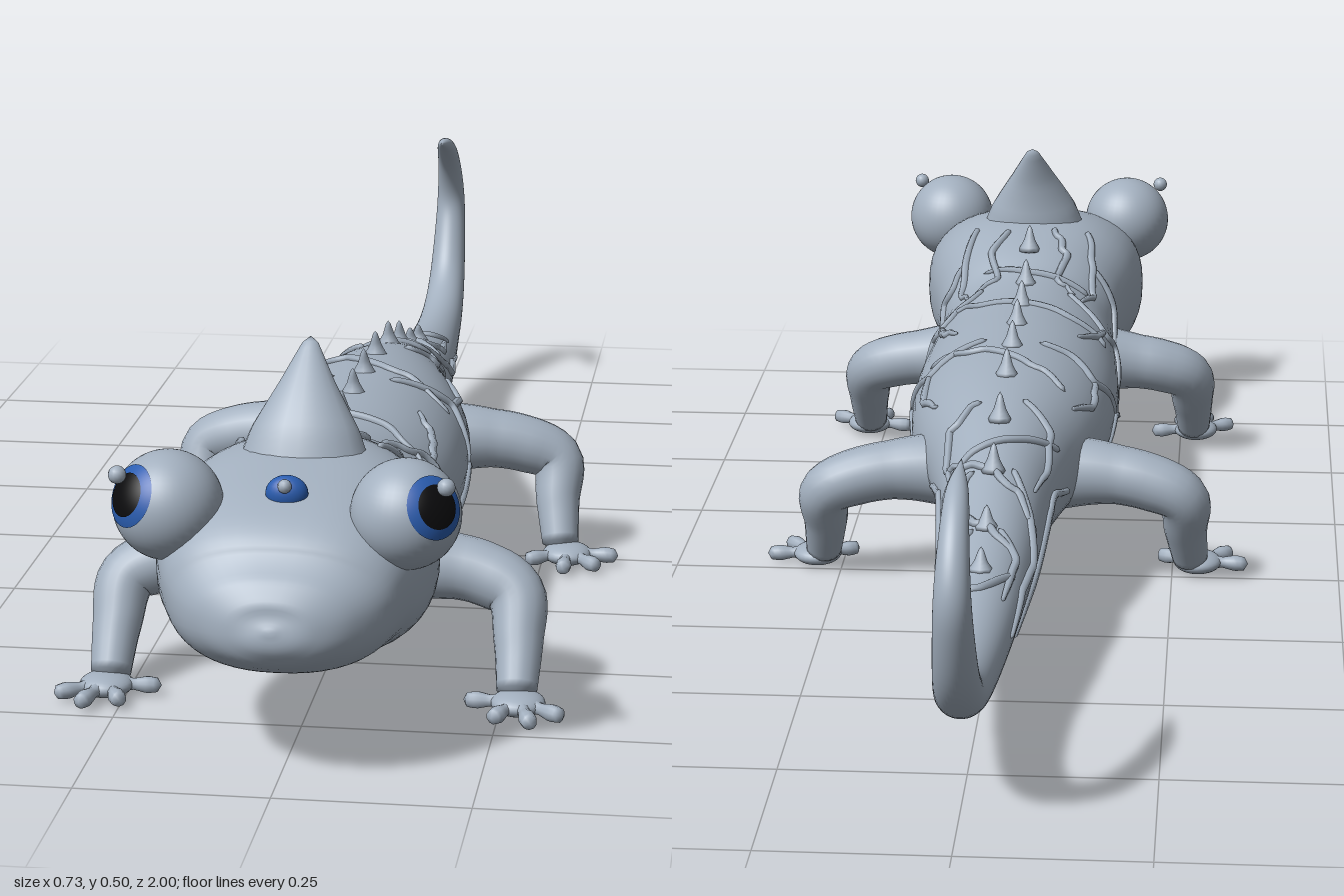
import * as THREE from 'three';
import { mergeVertices } from 'three/addons/utils/BufferGeometryUtils.js';

const skin = new THREE.MeshStandardMaterial({ color: 0xa3b0bf });
skin.name = 'grey skin';
const blue = new THREE.MeshStandardMaterial({ color: 0x2a5db0 });
blue.name = 'iris blue';
const black = new THREE.MeshStandardMaterial({ color: 0x0b0b0d });
black.name = 'pupil black';

const V = (x, y, z) => new THREE.Vector3(x, y, z);

// Body cross-sections from nose to tail tip: z, y, half width, half height, squareness
const SECTIONS = [
  [1.0, 0.215, 0, 0, 2.2], [0.99, 0.213, 0.055, 0.035, 2.2], [0.965, 0.213, 0.1, 0.06, 2.3],
  [0.92, 0.218, 0.14, 0.085, 2.4], [0.86, 0.235, 0.165, 0.108, 2.5], [0.78, 0.24, 0.18, 0.125, 2.5],
  [0.7, 0.24, 0.175, 0.135, 2.4], [0.62, 0.228, 0.155, 0.132, 2.2], [0.54, 0.208, 0.14, 0.122, 2],
  [0.42, 0.198, 0.15, 0.12, 2], [0.26, 0.195, 0.158, 0.124, 2], [0.1, 0.195, 0.15, 0.122, 2],
  [0, 0.195, 0.132, 0.115, 2], [-0.1, 0.19, 0.105, 0.105, 2], [-0.22, 0.178, 0.08, 0.088, 2],
  [-0.4, 0.155, 0.066, 0.066, 2], [-0.58, 0.138, 0.052, 0.05, 2], [-0.74, 0.138, 0.04, 0.04, 2],
  [-0.85, 0.158, 0.034, 0.034, 2], [-0.92, 0.205, 0.03, 0.03, 2], [-0.963, 0.28, 0.026, 0.026, 2],
  [-0.974, 0.34, 0.023, 0.023, 2], [-0.945, 0.4, 0.019, 0.019, 2], [-0.89, 0.442, 0.014, 0.014, 2],
  [-0.82, 0.46, 0, 0, 2],
];
const spine = new THREE.CatmullRomCurve3(SECTIONS.map(s => V(0, s[1], s[0])), false, 'catmullrom');
const girth = new THREE.CatmullRomCurve3(SECTIONS.map(s => V(s[2], s[3], s[4])), false, 'catmullrom');

// Point on the skin; angle 0 is the back ridge, growing towards the model's left
function skinPoint(u, angle, lift = 0) {
  const c = spine.getPoint(u), t = spine.getTangent(u), g = girth.getPoint(u);
  const curve = v => Math.sign(v) * Math.pow(Math.abs(v), 2 / g.z);
  const up = (Math.max(g.y, 0) + lift) * curve(Math.cos(angle));
  return V((Math.max(g.x, 0) + lift) * curve(Math.sin(angle)), c.y - t.z * up, c.z + t.y * up);
}

// Spine parameter at a given z, ahead of the tail curl
function atZ(z) {
  let a = 0, b = 0.8;
  for (let i = 0; i < 30; i++) {
    const m = (a + b) / 2;
    if (spine.getPoint(m).z > z) a = m; else b = m;
  }
  return a;
}

function smooth(geo) {
  geo.deleteAttribute('uv');
  geo.deleteAttribute('normal');
  const merged = mergeVertices(geo, 1e-5);
  merged.computeVertexNormals();
  return merged;
}

function bodyGeometry(rings = 150, sides = 48) {
  const pos = [], idx = [];
  for (let i = 0; i <= rings; i++) {
    for (let j = 0; j < sides; j++) {
      pos.push(...skinPoint(i / rings, (j / sides) * Math.PI * 2).toArray());
      if (i === rings) continue;
      const k = (j + 1) % sides, a = i * sides, b = a + sides;
      idx.push(a + j, a + k, b + j, a + k, b + k, b + j);
    }
  }
  const geo = new THREE.BufferGeometry();
  geo.setAttribute('position', new THREE.Float32BufferAttribute(pos, 3));
  geo.setIndex(idx);
  return smooth(geo);
}

// Round tube whose radius follows a list of values, with closed ends
function taper(points, radii, seg = 24, sides = 14) {
  const path = new THREE.CatmullRomCurve3(points);
  const geo = new THREE.TubeGeometry(path, seg, 1, sides);
  const p = geo.attributes.position, v = V(0, 0, 0);
  for (let i = 0; i <= seg; i++) {
    const c = path.getPointAt(i / seg), f = (i / seg) * (radii.length - 1);
    const k = Math.min(Math.floor(f), radii.length - 2);
    const r = i === 0 || i === seg ? 0 : THREE.MathUtils.lerp(radii[k], radii[k + 1], f - k);
    for (let j = 0; j <= sides; j++) {
      const n = i * (sides + 1) + j;
      v.fromBufferAttribute(p, n).sub(c).multiplyScalar(r).add(c);
      p.setXYZ(n, v.x, v.y, v.z);
    }
  }
  return smooth(geo);
}

// Raised veins as [z, degrees from the back ridge]
const SIDE_VEINS = [
  [[0.68, 28], [0.6, 42], [0.53, 50], [0.47, 38]],
  [[0.6, 42], [0.57, 72], [0.5, 104]],
  [[0.66, 10], [0.6, 22], [0.52, 20], [0.48, 34]],
  [[0.48, 28], [0.4, 58], [0.43, 77], [0.38, 102], [0.3, 108], [0.19, 90], [0.08, 108]],
  [[0.4, 58], [0.33, 50], [0.27, 36]],
  [[0.17, 15], [0.13, 55], [0.19, 90]],
  [[0.13, 55], [0.05, 62], [-0.02, 50]],
  [[-0.07, 15], [-0.12, 45], [-0.19, 58], [-0.26, 50]],
  [[-0.12, 96], [-0.2, 80], [-0.26, 88], [-0.38, 105], [-0.55, 118]],
  [[-0.25, 20], [-0.32, 50], [-0.42, 78], [-0.5, 70], [-0.62, 82]],
  [[-0.4, 15], [-0.46, 45], [-0.58, 40]],
];
const BACK_VEINS = [
  [[0.02, -40], [0.05, -15], [0.12, 15], [0.18, 55]],
  [[0.33, -60], [0.36, -20], [0.38, 15], [0.46, 60]],
  [[-0.12, -60], [-0.17, -15], [-0.2, 25], [-0.26, 70]],
  [[-0.2, 60], [-0.25, 10], [-0.3, -30], [-0.36, -70]],
  [[-0.34, 50], [-0.4, 0], [-0.46, -50]],
  [[-0.5, -50], [-0.56, 0], [-0.6, 50]],
  [[0.52, -45], [0.53, -10], [0.56, 30]],
  [[0.6, 145], [0.55, 165], [0.53, 190], [0.58, 220]],
];

export function createModel() {
  const model = new THREE.Group();
  const add = (name, geo, mat = skin, at = null, parent = model) => {
    const mesh = new THREE.Mesh(geo, mat);
    mesh.name = name;
    if (at) mesh.position.copy(at);
    parent.add(mesh);
    return mesh;
  };
  const ball = (r, w = 28, h = 18) => new THREE.SphereGeometry(r, w, h);

  add('body', bodyGeometry());

  // Horn at the back of the head
  const horn = add('horn', taper(
    [V(0, 0.33, 0.715), V(0, 0.38, 0.705), V(0, 0.435, 0.685), V(0, 0.5, 0.65)],
    [0.062, 0.047, 0.024, 0.004], 20, 20));
  horn.scale.x = 1.5;

  // Forehead gem with a small bead
  add('foreheadGem', ball(0.027), blue, V(0, 0.35, 0.855)).scale.set(1, 0.85, 0.7);
  add('gemBead', ball(0.009, 12, 8), skin, V(0, 0.364, 0.873));

  // Row of back spines
  const spines = [0.61, 0.49, 0.375, 0.26, 0.145, 0.02, -0.12, -0.25, -0.39, -0.5];
  spines.forEach((z, i) => {
    const p = skinPoint(atZ(z), 0), h = i > 7 ? 0.025 : 0.036;
    add('backSpine', taper([p.clone().add(V(0, -0.012, -0.004)), p.clone().add(V(0, h * 0.4, 0)),
      p.clone().add(V(0, h, 0.007))], [0.022, 0.009, 0.002], 8, 8));
  });

  // Veins hugging the skin, with a slight wander
  const vein = list => {
    const pts = [];
    list.forEach(([z, deg], i) => {
      const next = list[i + 1];
      const steps = next ? 4 : 1;
      for (let s = 0; s < steps; s++) {
        const f = s / 4, zz = next ? THREE.MathUtils.lerp(z, next[0], f) : z;
        const d = next ? THREE.MathUtils.lerp(deg, next[1], f) : deg;
        const wander = Math.sin(zz * 91 + d * 0.7) * 0.006;
        pts.push(skinPoint(atZ(zz + wander), THREE.MathUtils.degToRad(d), 0.001));
      }
    });
    add('vein', taper(pts, [0.005, 0.0065, 0.006, 0.003], pts.length * 3, 6));
  };
  BACK_VEINS.forEach(vein);

  for (const s of [1, -1]) {
    const side = s > 0 ? 'left' : 'right';
    SIDE_VEINS.forEach(list => vein(list.map(([z, d]) => [z, d * s])));

    // Bulging eye: ball, iris and pupil caps, bead
    const eye = new THREE.Group();
    eye.name = side + 'Eye';
    eye.position.set(0.15 * s, 0.33, 0.858);
    model.add(eye);
    add('eyeball', ball(0.07, 40, 28), skin, null, eye);
    const look = V(0.66 * s, 0.36, 0.66).normalize();
    const turn = new THREE.Quaternion().setFromUnitVectors(V(0, 1, 0), look);
    const cap = (r, a) => new THREE.SphereGeometry(r, 36, 10, 0, Math.PI * 2, 0, a);
    add('iris', cap(0.0712, 0.6), blue, null, eye).quaternion.copy(turn);
    add('pupil', cap(0.0722, 0.4), black, null, eye).quaternion.copy(turn);
    add('eyeBead', ball(0.0115, 14, 10), skin, V(0.055 * s, 0.05, 0.045), eye);

    // Legs and splayed feet: path, foot centre and toe tips (x, z)
    const legs = [
      ['frontLeg', [[0.07, 0.18, 0.55], [0.15, 0.17, 0.56], [0.215, 0.16, 0.565], [0.262, 0.138, 0.58],
        [0.27, 0.085, 0.615], [0.272, 0.02, 0.66]],
      [0.275, 0.668], [[0.202, 0.66], [0.245, 0.727], [0.298, 0.742], [0.338, 0.708]]],
      ['hindLeg', [[0.05, 0.17, -0.02], [0.14, 0.175, -0.03], [0.215, 0.165, -0.04], [0.265, 0.142, -0.043],
        [0.27, 0.085, -0.015], [0.278, 0.02, 0.02]],
      [0.288, 0.027], [[0.228, 0.06], [0.287, 0.1], [0.338, 0.08], [0.364, 0.025]]],
    ];
    for (const [name, path, foot, toes] of legs) {
      const leg = new THREE.Group();
      leg.name = side + name[0].toUpperCase() + name.slice(1);
      model.add(leg);
      add('limb', taper(path.map(p => V(p[0] * s, p[1], p[2])),
        [0.06, 0.052, 0.044, 0.042, 0.037, 0.031, 0.026], 36, 20), skin, null, leg);
      add('palm', ball(0.036), skin, V(foot[0] * s, 0.017, foot[1]), leg).scale.y = 0.45;
      for (const [x, z] of toes) {
        const tip = V(x * s, 0.015, z), root = V(foot[0] * s, 0.018, foot[1]);
        add('toe', taper([root, root.clone().lerp(tip, 0.5), tip],
          [0.013, 0.011, 0.008, 0.012, 0.009], 14, 10), skin, null, leg);
      }
    }
  }
  return model;
}
